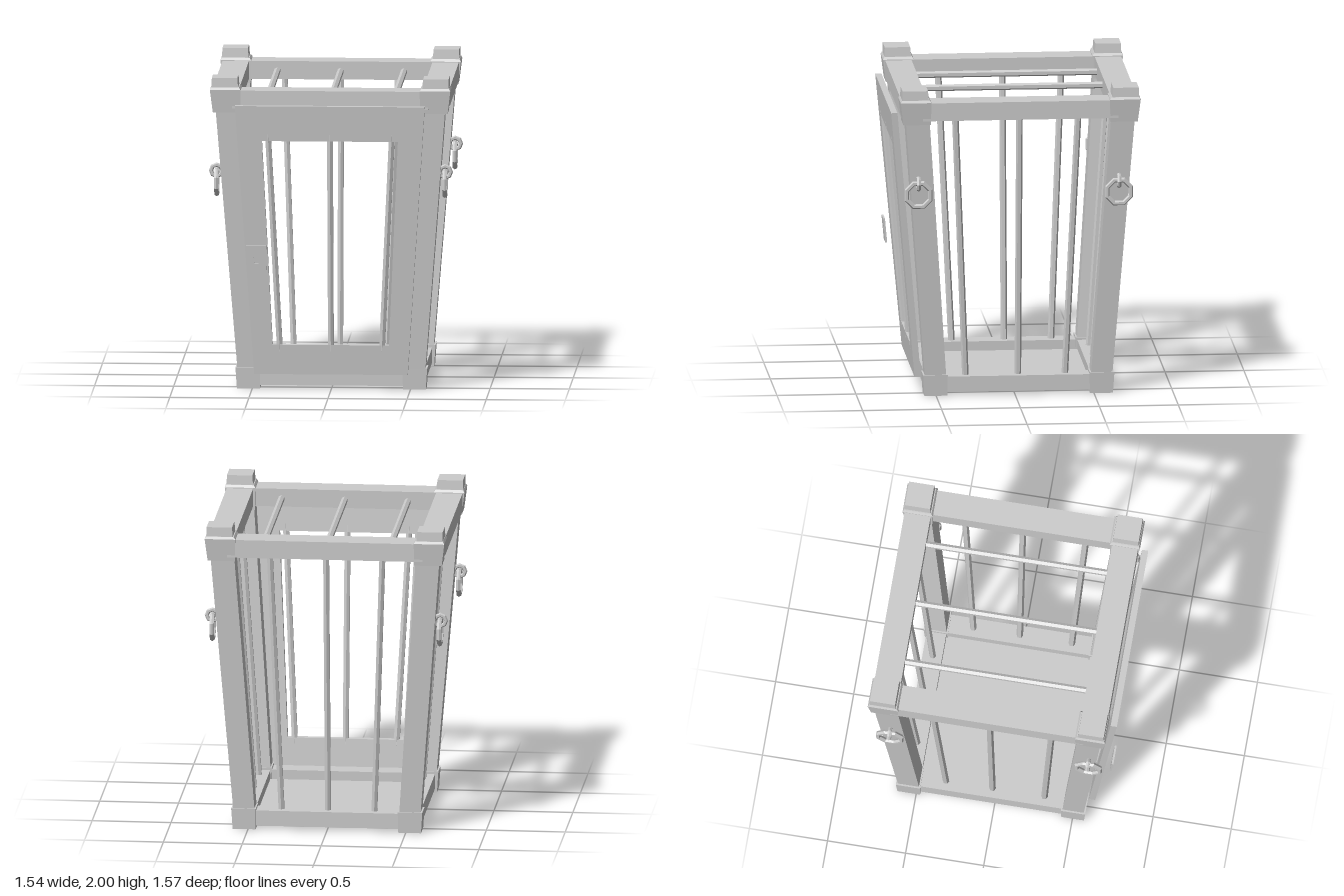
import * as THREE from 'three';

const CZ = -0.023; // depth of the cage axis (the door juts out in front)
const mat = new THREE.MeshStandardMaterial({ color: 0xcccccc, flatShading: true });

function mesh(name, geo, parent) {
  const m = new THREE.Mesh(geo, mat);
  m.name = name;
  parent.add(m);
  return m;
}

// Box whose bottom and top rectangles [xMin, xMax, zMin, zMax] differ
function taperedBox(y0, r0, y1, r1) {
  const geo = new THREE.BoxGeometry(1, 1, 1);
  const p = geo.attributes.position;
  for (let i = 0; i < p.count; i++) {
    const top = p.getY(i) > 0;
    const r = top ? r1 : r0;
    p.setXYZ(i, r[p.getX(i) > 0 ? 1 : 0], top ? y1 : y0, r[p.getZ(i) > 0 ? 3 : 2]);
  }
  geo.computeVertexNormals();
  return geo;
}

const box = (x0, x1, y0, y1, z0, z1) => taperedBox(y0, [x0, x1, z0, z1], y1, [x0, x1, z0, z1]);

// Square corner section given as inner/outer distance from the axis
function corner(sx, sz, a, b) {
  const x = [sx * a, sx * b].sort((m, n) => m - n);
  const z = [sz * a, sz * b].sort((m, n) => m - n);
  return [x[0], x[1], z[0] + CZ, z[1] + CZ];
}

// Hexagonal rod between two points
function rod(name, a, b, parent) {
  const from = new THREE.Vector3(...a), dir = new THREE.Vector3(...b).sub(from);
  const geo = new THREE.CylinderGeometry(0.021, 0.021, dir.length(), 6);
  const m = mesh(name, geo, parent);
  m.position.copy(from).addScaledVector(dir, 0.5);
  m.quaternion.setFromUnitVectors(new THREE.Vector3(0, 1, 0), dir.normalize());
}

// Front plane of the door, leaning outward towards the top
const doorZ = y => 0.627 + (y - 0.1) * 0.0913;

// Extrude a front outline and lean it with the door plane
function leaningPanel(shape, depth, lift) {
  const geo = new THREE.ExtrudeGeometry(shape, { depth, bevelEnabled: false, curveSegments: 6 });
  const p = geo.attributes.position;
  for (let i = 0; i < p.count; i++) p.setZ(i, p.getZ(i) - depth + lift + doorZ(p.getY(i)));
  geo.computeVertexNormals();
  return geo;
}

const outline = pts => pts.map(([x, y]) => new THREE.Vector2(x, y));

export function createModel() {
  const root = new THREE.Group();
  root.name = 'cage';

  // Corner posts with feet, caps and hanging rings
  for (const sx of [-1, 1]) for (const sz of [-1, 1]) {
    const g = new THREE.Group();
    g.name = 'cornerPost';
    root.add(g);
    const c = (a, b) => corner(sx, sz, a, b);
    mesh('post', taperedBox(0.1, c(0.457, 0.592), 1.82, c(0.576, 0.727)), g);
    mesh('foot', taperedBox(0, c(0.452, 0.597), 0.135, c(0.45, 0.606)), g);
    mesh('cap', taperedBox(1.78, c(0.568, 0.742), 1.925, c(0.566, 0.76)), g);
    mesh('capShoulder', taperedBox(1.925, c(0.566, 0.76), 1.94, c(0.576, 0.752)), g);
    mesh('capTop', taperedBox(1.94, c(0.582, 0.75), 2, c(0.587, 0.748)), g);

    const z = sz > 0 ? 0.622 : -0.648;
    const eye = mesh('ringEye', new THREE.TorusGeometry(0.036, 0.014, 6, 8), g);
    eye.position.set(sx * 0.722, 1.397, z);
    const ring = mesh('ring', new THREE.TorusGeometry(0.08, 0.016, 6, 8), g);
    ring.rotation.set(0, Math.PI / 2, Math.PI / 8, 'YXZ');
    ring.position.set(sx * 0.721, 1.325, z);
  }

  // Top and bottom rails
  for (const s of [-1, 1]) {
    const span = (a, b) => (s > 0 ? [a, b] : [-b, -a]);
    const [t0, t1] = span(0.58, 0.747);
    const [b0, b1] = span(0.46, 0.585);
    mesh('topSideRail', box(t0, t1, 1.805, 1.92, CZ - 0.62, CZ + 0.62), root);
    mesh('topCrossRail', box(-0.62, 0.62, 1.805, 1.92, CZ + t0, CZ + t1), root);
    mesh('bottomSideRail', box(b0, b1, 0.025, 0.12, CZ - 0.5, CZ + 0.5), root);
    mesh('bottomCrossRail', box(-0.5, 0.5, 0.025, 0.12, CZ + b0, CZ + b1), root);
  }
  mesh('floor', box(-0.58, 0.58, 0.02, 0.06, CZ - 0.58, CZ + 0.58), root);

  // Bars of the two sides, back, roof and door
  for (const s of [-1, 1])
    for (const [zt, zb] of [[0.384, 0.307], [-0.024, -0.024], [-0.397, -0.32]])
      rod('sideBar', [s * 0.518, 0.08, zb], [s * 0.645, 1.84, zt], root);
  for (const k of [-1, 0, 1]) {
    rod('backBar', [k * 0.293, 0.08, CZ - 0.518], [k * 0.358, 1.84, CZ - 0.645], root);
    rod('roofBar', [k * 0.4, 1.86, CZ - 0.62], [k * 0.4, 1.86, CZ + 0.62], root);
  }

  // Door frame with its opening and bars
  const door = new THREE.Group();
  door.name = 'door';
  root.add(door);
  const frame = new THREE.Shape(outline([[-0.485, 0.1], [0.485, 0.1], [0.6, 1.83], [-0.6, 1.83]]));
  frame.holes.push(new THREE.Path(outline([[-0.368, 0.29], [-0.43, 1.605], [0.43, 1.605], [0.368, 0.29]])));
  mesh('doorFrame', leaningPanel(frame, 0.04, 0), door);
  for (const k of [-1, 0, 1])
    rod('doorBar', [k * 0.322, 0.25, doorZ(0.25) - 0.02], [k * 0.392, 1.65, doorZ(1.65) - 0.02], door);

  // Lock plate with a keyhole
  const plate = new THREE.Shape(outline([[-0.52, 0.78], [-0.4, 0.78], [-0.403, 0.935], [-0.53, 0.935]]));
  const hole = new THREE.Path();
  hole.moveTo(-0.477, 0.818);
  hole.lineTo(-0.453, 0.818);
  hole.lineTo(-0.457, 0.85);
  hole.absarc(-0.465, 0.865, 0.018, -1.1, Math.PI + 1.1, false);
  hole.lineTo(-0.477, 0.818);
  plate.holes.push(hole);
  mesh('lockPlate', leaningPanel(plate, 0.012, 0.048), door);

  return root;
}
